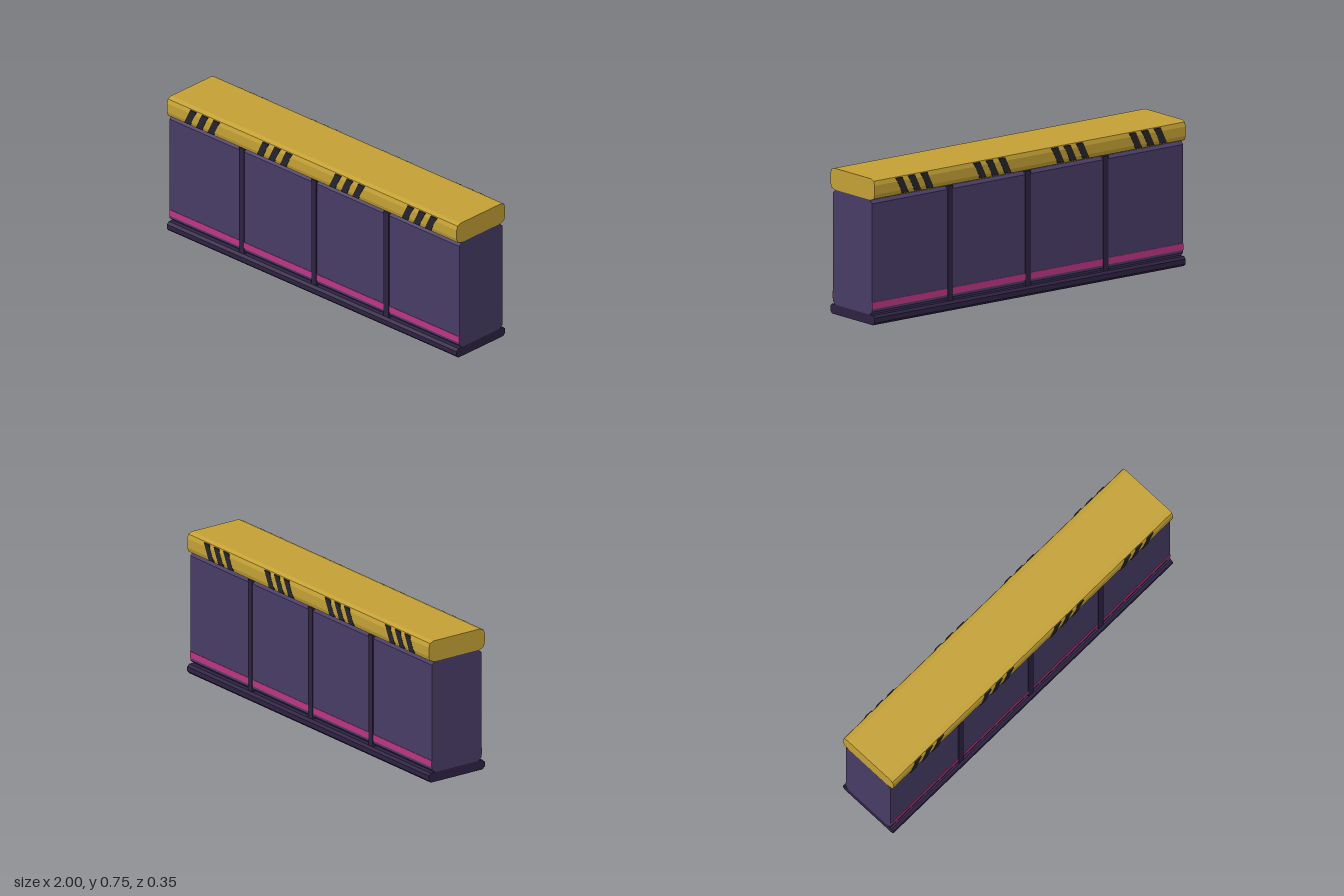
import * as THREE from 'three';

const material = (name, color) => new THREE.MeshStandardMaterial({ name, color });

// Symmetric cross-section from its half outline [z, y], bottom to top, swept along x
function prism(half, length) {
  const outline = [...half, ...half.slice().reverse().map(([z, y]) => [-z, y])];
  const shape = new THREE.Shape(outline.map(([z, y]) => new THREE.Vector2(z, y)));
  return new THREE.ExtrudeGeometry(shape, { depth: length, bevelEnabled: false })
    .translate(0, 0, -length / 2)
    .rotateY(Math.PI / 2);
}

export function createModel() {
  const group = new THREE.Group();
  group.name = 'barrier';

  const purple = material('panelPurple', 0x483c66);
  const dark = material('trimDark', 0x2e2242);
  const gold = material('capGold', 0xc4a136);
  const pink = material('stripePink', 0xbe3583);
  const black = material('hazardBlack', 0x25242b);

  const add = (name, geometry, mat, x = 0, y = 0, z = 0) => {
    const mesh = new THREE.Mesh(geometry, mat);
    mesh.name = name;
    mesh.position.set(x, y, z);
    group.add(mesh);
    return mesh;
  };

  // Base plinth, chamfered wall and rounded cap
  add('base', prism([[0.162, 0], [0.175, 0.013], [0.175, 0.038], [0.162, 0.05]], 2), dark);
  add('wall', prism([[0.137, 0.05], [0.156, 0.067], [0.156, 0.623], [0.137, 0.64]], 2), purple);
  add('cap', prism([
    [0.145, 0.64], [0.168, 0.649], [0.175, 0.671],
    [0.175, 0.719], [0.168, 0.741], [0.145, 0.75],
  ], 2), gold);

  // Slanted hazard stripe, thin plate
  const w = 0.042, slant = 0.04, y0 = 0.655, y1 = 0.737;
  const stripe = new THREE.ExtrudeGeometry(new THREE.Shape([
    new THREE.Vector2(0, y0), new THREE.Vector2(w, y0),
    new THREE.Vector2(w + slant, y1), new THREE.Vector2(slant, y1),
  ]), { depth: 0.006, bevelEnabled: false }).translate(0, 0, -0.003);

  for (const side of [1, -1]) {
    // Glowing line along the foot of the wall
    add('pinkLine', new THREE.BoxGeometry(2, 0.034, 0.004), pink, 0, 0.098, side * 0.156);

    // Seams between the panels
    for (const x of [-0.5, 0, 0.5]) {
      add('panelSeam', new THREE.BoxGeometry(0.034, 0.59, 0.026), dark, x, 0.345, side * 0.148);
    }

    // Hazard marks, three stripes per panel
    for (let panel = 0; panel < 4; panel++) {
      for (let i = 0; i < 3; i++) {
        add('hazardStripe', stripe, black, -0.88 + panel * 0.5 + i * 0.08, 0, side * 0.173);
      }
    }
  }
  return group;
}
